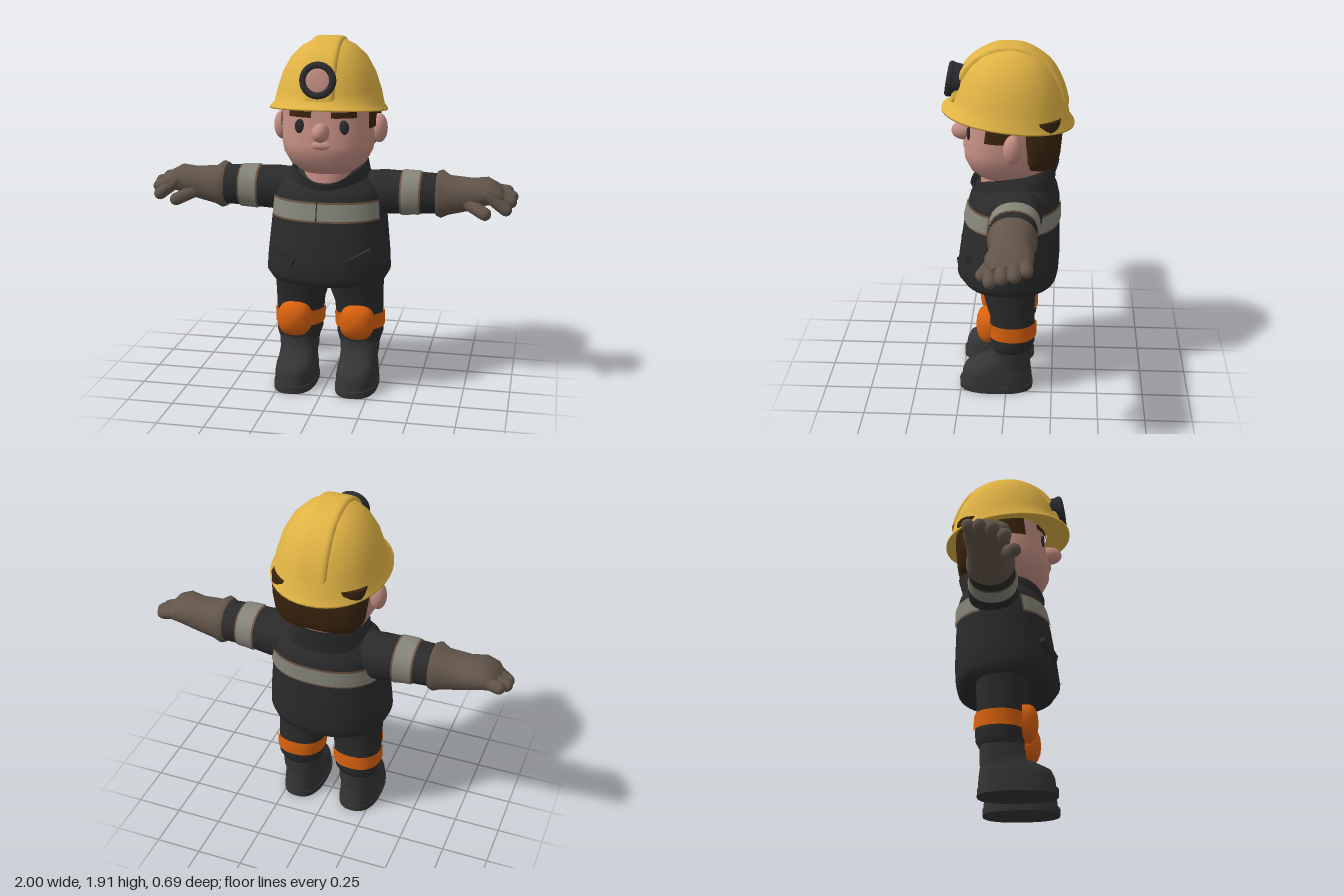
import * as THREE from 'three';
import { toCreasedNormals } from 'three/addons/utils/BufferGeometryUtils.js';

const mat = (name, color) => {
  const m = new THREE.MeshStandardMaterial({ color });
  m.name = name;
  return m;
};

// Ring: [position on axis, centreU, centreV, radiusU, radiusV, tilt]
// Skin over superellipse rings, along y (u = x, v = z) or x (u = y, v = z).
function loft(rings, { axis = 'y', n = 2.3, segs = 32, a0 = 0, a1 = Math.PI * 2, caps = true, lift = () => 0 } = {}) {
  const closed = a1 - a0 > 6.28;
  const cols = closed ? segs : segs + 1;
  const pos = [], index = [];
  const put = (t, u, v) => pos.push(...(axis === 'y' ? [u, t, v] : [t, u, v]));
  const tri = (a, b, c) => index.push(...(axis === 'y' ? [a, b, c] : [a, c, b]));
  const sp = (c) => Math.sign(c) * Math.pow(Math.abs(c), 2 / n);
  const addRing = ([t, cu, cv, ru, rv, tilt = 0]) => {
    for (let j = 0; j < cols; j++) {
      const a = a0 + (a1 - a0) * j / segs;
      const v = cv + rv * sp(Math.sin(a));
      put(t + tilt * v + lift(a), cu + ru * sp(Math.cos(a)), v);
    }
  };
  rings.forEach(addRing);
  for (let i = 0; i < rings.length - 1; i++) {
    for (let j = 0; j < segs; j++) {
      const k = (j + 1) % cols, A = i * cols + j, C = i * cols + k;
      tri(A, A + cols, C);
      tri(A + cols, C + cols, C);
    }
  }
  if (caps && closed) {
    [rings[0], rings[rings.length - 1]].forEach((r, top) => {
      const s = pos.length / 3;
      addRing(r);
      put(r[0], r[1], r[2]);
      for (let j = 0; j < cols; j++) {
        const k = (j + 1) % cols;
        if (top) tri(s + cols, s + k, s + j);
        else tri(s + cols, s + j, s + k);
      }
    });
  }
  const g = new THREE.BufferGeometry();
  g.setAttribute('position', new THREE.Float32BufferAttribute(pos, 3));
  g.setIndex(index);
  g.computeVertexNormals();
  return g;
}

// Part of a ring list between t0 and t1, pushed outward, for bands that hug a surface
function slice(rings, t0, t1, grow) {
  const at = (t) => {
    let i = 0;
    while (i < rings.length - 2 && rings[i + 1][0] < t) i++;
    const f = (t - rings[i][0]) / (rings[i + 1][0] - rings[i][0]);
    return rings[i].map((v, k) => v + (rings[i + 1][k] - v) * f);
  };
  const inner = rings.filter((r) => r[0] > t0 && r[0] < t1);
  return [at(t0), ...inner, at(t1)].map(([t, cu, cv, ru, rv]) => [t, cu, cv, ru + grow, rv + grow]);
}

const ball = (x, y, z, rx, ry, rz) => new THREE.SphereGeometry(1, 20, 14).scale(rx, ry, rz).translate(x, y, z);

function finger(p, q, r) {
  const a = new THREE.Vector3(...p), b = new THREE.Vector3(...q), d = b.clone().sub(a);
  const turn = new THREE.Quaternion().setFromUnitVectors(new THREE.Vector3(0, 1, 0), d.clone().normalize());
  const mid = a.add(b).multiplyScalar(0.5);
  return new THREE.CapsuleGeometry(r, d.length(), 5, 10).applyQuaternion(turn).translate(mid.x, mid.y, mid.z);
}

function mirrored(geo) {
  const g = geo.clone().scale(-1, 1, 1), idx = g.index.array;
  for (let i = 0; i < idx.length; i += 3) [idx[i], idx[i + 1]] = [idx[i + 1], idx[i]];
  return g;
}

export function createModel() {
  const model = new THREE.Group();
  model.name = 'worker';
  const yellow = mat('helmetYellow', 0xe0b344), black = mat('jacketBlack', 0x2b2b2b);
  const rubber = mat('bootRubber', 0x353535), brown = mat('gloveBrown', 0x62554a);
  const skin = mat('skin', 0xc48e83), hairMat = mat('hairBrown', 0x3a240e);
  const grey = mat('reflectiveGrey', 0x86857a), trim = mat('trimBrown', 0x6d5444);
  const orange = mat('padOrange', 0xdb620e), dark = mat('darkDetail', 0x2d2d31);
  const add = (name, geo, material) => {
    const m = new THREE.Mesh(geo, material);
    m.name = name;
    model.add(m);
    return m;
  };
  const both = (name, geo, material) => {
    add(name + 'Left', geo, material);
    add(name + 'Right', mirrored(geo), material);
  };
  const PI = Math.PI;

  // Jacket
  const torso = [
    [0.60, 0, -0.015, 0.26, 0.225], [0.615, 0, -0.01, 0.31, 0.255], [0.66, 0, 0, 0.335, 0.275],
    [0.75, 0, -0.008, 0.33, 0.272], [0.95, 0, -0.022, 0.31, 0.255], [1.07, 0, -0.035, 0.3, 0.24],
    [1.13, 0, -0.04, 0.27, 0.222], [1.18, 0, -0.065, 0.215, 0.165], [1.21, 0, -0.07, 0.17, 0.14]];
  add('jacket', loft(torso, { segs: 40 }), black);
  [['Front', 0.45], ['Back', PI + 0.4]].forEach(([side, a0]) => {
    const a1 = side === 'Front' ? PI - 0.45 : 2 * PI - 0.4;
    add('chestTrim' + side, loft(slice(torso, 0.96, 1.065, 0.005), { a0: a0 - 0.03, a1: a1 + 0.03 }), trim);
    add('chestStripe' + side, loft(slice(torso, 0.97, 1.055, 0.008), { a0, a1 }), grey);
  });
  add('zip', loft(slice(torso, 0.63, 1.1, 0.01), { a0: PI / 2 + 0.045, a1: PI / 2 + 0.06, segs: 2 }), black);
  both('pocketFlap', new THREE.BoxGeometry(0.15, 0.04, 0.03).rotateZ(0.42).rotateY(0.45).translate(0.2, 0.775, 0.222), black);

  // Collar, high at the back and dropping to a V in front
  const collar = [[1.1, 0, -0.035, 0.25, 0.215], [1.17, 0, -0.04, 0.215, 0.21], [1.235, 0, -0.035, 0.2, 0.235],
    [1.235, 0, -0.035, 0.18, 0.215], [1.13, 0, -0.04, 0.16, 0.17]];
  add('collar', loft(collar, {
    caps: false, segs: 40, lift: (a) => -0.045 * Math.sin(a) - 0.04 * Math.max(0, Math.sin(a)) ** 6,
  }), black);
  add('neck', loft([[1.1, 0, -0.02, 0.12, 0.17], [1.16, 0, -0.02, 0.13, 0.165], [1.26, 0, -0.02, 0.15, 0.15]]), skin);

  // Sleeves and bands
  const arm = [[0.18, 1.07, -0.06, 0.115, 0.13], [0.30, 1.075, -0.06, 0.118, 0.13],
    [0.45, 1.08, -0.05, 0.11, 0.118], [0.60, 1.08, -0.05, 0.105, 0.112]];
  const alongX = { axis: 'x', n: 2.2, segs: 24 };
  both('sleeve', loft(arm, alongX), black);
  both('sleeveTrim', loft(slice(arm, 0.385, 0.497, 0.005), { ...alongX, caps: false }), trim);
  both('sleeveStripe', loft(slice(arm, 0.395, 0.487, 0.008), { ...alongX, caps: false }), grey);

  // Gloves
  both('glove', loft([[0.575, 1.08, -0.05, 0.118, 0.115], [0.60, 1.08, -0.05, 0.128, 0.124],
    [0.64, 1.075, -0.05, 0.104, 0.112], [0.76, 1.085, -0.05, 0.084, 0.106], [0.84, 1.105, -0.05, 0.072, 0.116],
    [0.90, 1.095, -0.045, 0.05, 0.108], [0.93, 1.085, -0.045, 0.02, 0.08]], alongX), brown);
  [[-0.13, 0.94, 1.09], [-0.075, 0.966, 1.075], [-0.015, 0.962, 1.06], [0.04, 0.94, 1.03]].forEach(([z, x, y], i) =>
    both('finger' + (i + 1), finger([0.84, 1.105, z * 0.9], [x, y, z], 0.034), brown));
  both('thumb', finger([0.72, 1.06, 0.01], [0.835, 1.012, 0.08], 0.035), brown);

  // Trousers, knee straps and pads
  const leg = [[0.25, 0.17, -0.02, 0.112, 0.112], [0.29, 0.17, -0.03, 0.126, 0.124], [0.37, 0.168, -0.034, 0.128, 0.122],
    [0.47, 0.163, -0.025, 0.132, 0.124], [0.55, 0.15, -0.017, 0.146, 0.138], [0.64, 0.15, -0.01, 0.15, 0.15]];
  both('trouserLeg', loft(leg), black);
  both('kneeStrap', loft(slice(leg, 0.335, 0.42, 0.008), { caps: false }), orange);
  both('kneePad', loft([[0.085, 0.38, 0, 0.095, 0.095], [0.12, 0.38, 0, 0.095, 0.092], [0.145, 0.385, 0, 0.078, 0.075],
    [0.16, 0.385, 0, 0.045, 0.04], [0.164, 0.385, 0, 0.01, 0.01]], { axis: 'x', n: 2.5 })
    .rotateY(-PI / 2).translate(0.172, 0, 0), orange);

  // Boots
  both('boot', loft([[0.03, 0.17, 0.055, 0.112, 0.195], [0.09, 0.17, 0.053, 0.11, 0.19], [0.125, 0.17, 0.047, 0.106, 0.18],
    [0.15, 0.17, 0.025, 0.1, 0.155], [0.185, 0.17, -0.018, 0.104, 0.114], [0.27, 0.17, -0.02, 0.11, 0.112]], { n: 2.5 }), rubber);
  both('sole', loft([[0, 0.17, 0.058, 0.115, 0.202], [0.035, 0.17, 0.058, 0.115, 0.202]], { n: 2.5 }), rubber);

  // Head
  const head = [[1.18, 0, -0.02, 0.1, 0.12], [1.21, 0, -0.01, 0.15, 0.165], [1.25, 0, 0, 0.2, 0.198],
    [1.31, 0, 0.008, 0.232, 0.218], [1.36, 0, 0.007, 0.242, 0.222], [1.43, 0, 0, 0.242, 0.216],
    [1.52, 0, -0.01, 0.24, 0.215], [1.6, 0, -0.015, 0.235, 0.215]];
  add('head', loft(head, { n: 2.4, segs: 40 }), skin);
  add('nose', ball(0, 1.435, 0.228, 0.045, 0.05, 0.07), skin);
  add('upperLip', ball(0, 1.365, 0.2, 0.07, 0.03, 0.038), skin);
  both('ear', ball(0.262, 1.425, -0.035, 0.045, 0.078, 0.048), skin);
  both('eye', ball(0.115, 1.46, 0.196, 0.027, 0.038, 0.012), dark);
  both('eyebrow', loft(slice(head, 1.508, 1.54, 0.01), { n: 2.4, a0: 0.85, a1: 1.42, segs: 10 }), hairMat);
  add('hair', loft([[1.29, 0, -0.165, 0.2, 0.09], [1.34, 0, -0.17, 0.235, 0.105], [1.45, 0, -0.17, 0.25, 0.115],
    [1.56, 0, -0.17, 0.25, 0.115]], { n: 2.8 }), hairMat);
  both('sideburn', loft(slice(head, 1.445, 1.56, 0.009), { n: 2.4, a0: -0.1, a1: 0.45, segs: 10 }), hairMat);

  // Helmet with turned brim and crest
  add('helmet', loft([[1.54, 0, -0.01, 0.235, 0.225, 0.11], [1.525, 0, 0, 0.308, 0.345, 0.115],
    [1.535, 0, 0, 0.308, 0.345, 0.115], [1.56, 0, -0.012, 0.288, 0.308, 0.09], [1.63, 0, -0.015, 0.272, 0.29, 0.05],
    [1.72, 0, -0.012, 0.243, 0.258, 0.02], [1.8, 0, -0.01, 0.198, 0.212], [1.855, 0, -0.01, 0.142, 0.155],
    [1.888, 0, -0.01, 0.08, 0.09], [1.9, 0, -0.01, 0.015, 0.015]], { n: 2.1, segs: 40, caps: false }), yellow);
  const crestCurve = new THREE.SplineCurve([[-0.28, 1.62], [-0.25, 1.72], [-0.185, 1.815], [-0.08, 1.878], [0.01, 1.89],
    [0.1, 1.875], [0.2, 1.81], [0.26, 1.72], [0.295, 1.62]].map((p) => new THREE.Vector2(...p)));
  const crest = new THREE.ExtrudeGeometry(new THREE.Shape(crestCurve.getPoints(28)), {
    depth: 0.1, bevelEnabled: true, bevelThickness: 0.03, bevelSize: 0.016, bevelSegments: 3,
  }).translate(0, 0, -0.05).rotateY(PI / 2);
  add('helmetCrest', toCreasedNormals(crest, 0.7), yellow);

  // Head lamp, leaning back with the helmet
  const lamp = new THREE.Group();
  lamp.name = 'headLamp';
  lamp.position.set(0, 1.71, 0.28);
  lamp.rotation.x = -0.17;
  const lampPart = (name, geo, material, z) => {
    const m = add(name, geo, material);
    m.position.z = z;
    lamp.add(m);
  };
  lampPart('lampBody', new THREE.CylinderGeometry(0.09, 0.085, 0.06, 24).rotateX(PI / 2), dark, -0.01);
  lampPart('lampRim', new THREE.TorusGeometry(0.076, 0.018, 10, 28), dark, 0.018);
  lampPart('lampLens', new THREE.SphereGeometry(0.064, 20, 10).scale(1, 1, 0.12), skin, 0.021);
  model.add(lamp);

  return model;
}
